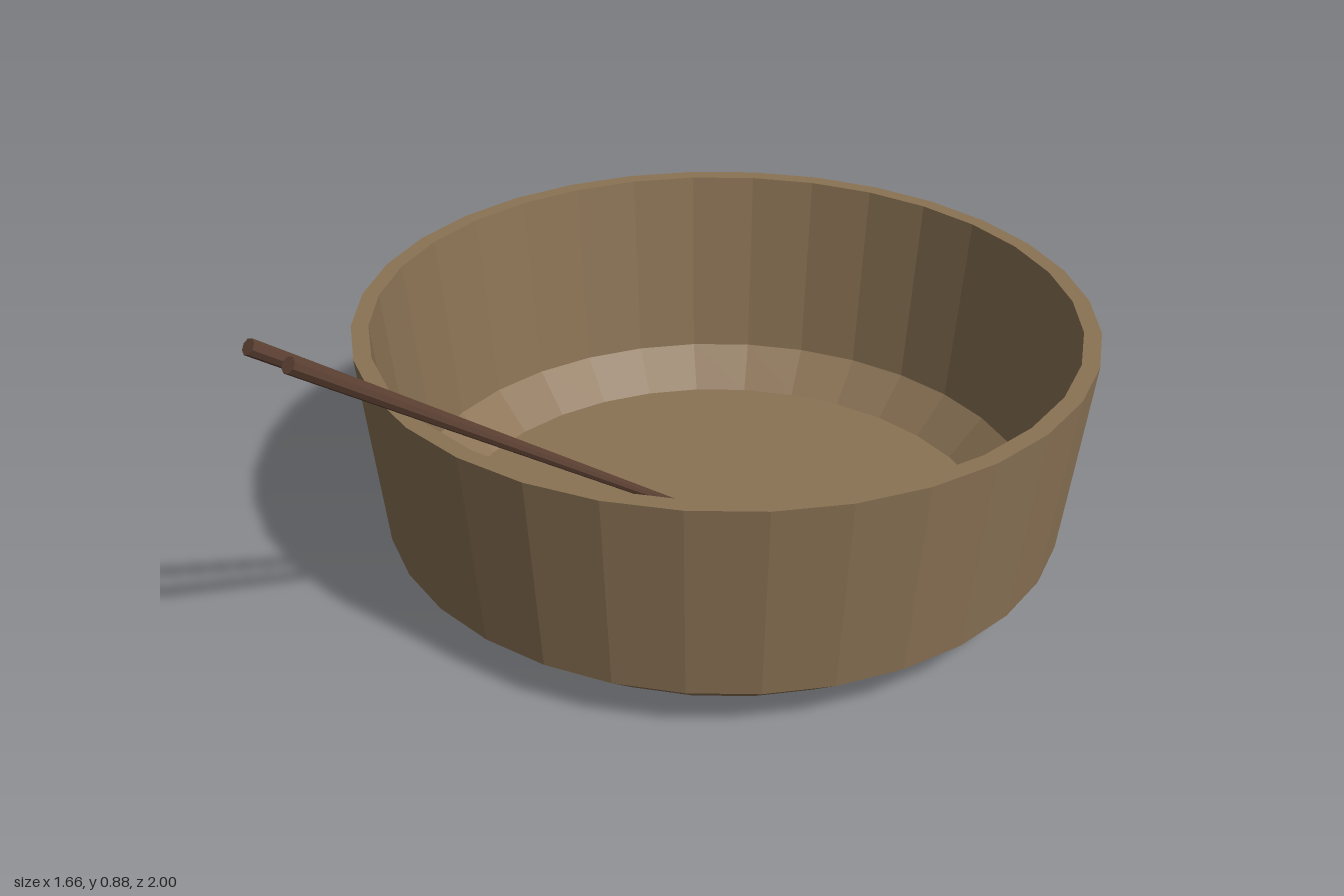
import * as THREE from 'three';

const wood = new THREE.MeshStandardMaterial({ color: 0x8b7355, flatShading: true });
const darkWood = new THREE.MeshStandardMaterial({ color: 0x5c4033, flatShading: true });

// Tapered stick running from its thin tip to its thick end
function makeChopstick(name, tip, end) {
  const direction = end.clone().sub(tip);
  const geometry = new THREE.CylinderGeometry(0.0175, 0.008, direction.length(), 8);
  const stick = new THREE.Mesh(geometry, darkWood);
  stick.name = name;
  stick.position.copy(tip).add(end).multiplyScalar(0.5);
  stick.quaternion.setFromUnitVectors(new THREE.Vector3(0, 1, 0), direction.normalize());
  return stick;
}

export function createModel() {
  const model = new THREE.Group();
  model.name = 'bowlWithChopsticks';

  // Bowl: outer wall from the underside up, over the rim and down to the inner floor
  const profile = [
    [0, 0], [0.65, 0], [0.78, 0.105], [0.832, 0.57],
    [0.793, 0.57], [0.74, 0.11], [0.65, 0.02], [0, 0.02],
  ].map(([r, y]) => new THREE.Vector2(r, y));
  const bowl = new THREE.Mesh(new THREE.LatheGeometry(profile, 32), wood);
  bowl.name = 'bowl';
  bowl.position.z = -0.167;
  model.add(bowl);

  // Chopsticks: tips meet inside the bowl, ends lean over the front rim
  model.add(
    makeChopstick('straightChopstick',
      new THREE.Vector3(0.01, 0.07, -0.105), new THREE.Vector3(0.01, 0.861, 0.988)),
    makeChopstick('angledChopstick',
      new THREE.Vector3(0.01, 0.07, -0.1), new THREE.Vector3(0.12, 0.861, 0.965)),
  );
  return model;
}
